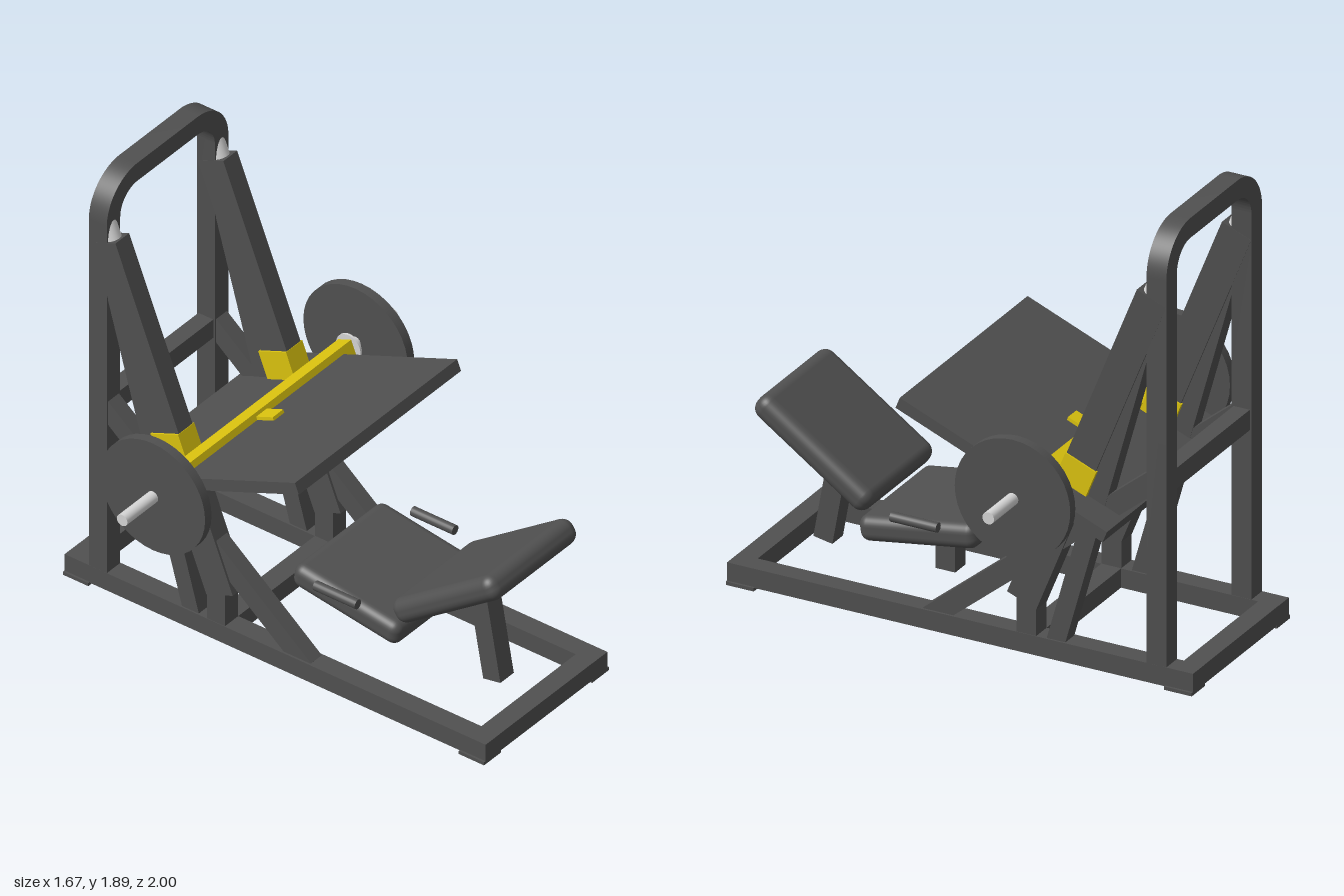
import * as THREE from 'three';
import { toCreasedNormals } from 'three/addons/utils/BufferGeometryUtils.js';
import { RoundedBoxGeometry } from 'three/addons/geometries/RoundedBoxGeometry.js';

const mat = (name, color) => {
  const m = new THREE.MeshStandardMaterial({ color });
  m.name = name;
  return m;
};

export function createModel() {
  const dark = mat('darkGrey', 0x505050);
  const yellow = mat('yellow', 0xdcc40f);
  const silver = mat('silver', 0xd6d6d6);
  const model = new THREE.Group();
  const TILT = -0.38; // lean of the slide rails

  const add = (name, geo, material, x, y, z, rx = 0) => {
    const m = new THREE.Mesh(geo, material);
    m.name = name;
    m.position.set(x, y, z);
    m.rotation.x = rx;
    model.add(m);
    return m;
  };
  const box = (name, material, w, h, d, x, y, z, rx) =>
    add(name, new THREE.BoxGeometry(w, h, d), material, x, y, z, rx);
  // Square tube running between two [y, z] points at a given x
  const beam = (name, x, [y0, z0], [y1, z1], w, d) =>
    box(name, dark, w, Math.hypot(y1 - y0, z1 - z0), d, x,
      (y0 + y1) / 2, (z0 + z1) / 2, Math.atan2(z1 - z0, y1 - y0));
  // Cylinder lying along x
  const axle = (name, material, r, x0, x1, y, z) => {
    const g = new THREE.CylinderGeometry(r, r, Math.abs(x1 - x0), 40);
    g.rotateZ(Math.PI / 2);
    return add(name, g, material, (x0 + x1) / 2, y, z);
  };

  // Base cross members
  box('frontBaseBar', dark, 0.6, 0.08, 0.085, 0, 0.05, 0.957);
  box('rearBaseBar', dark, 0.6, 0.08, 0.085, 0, 0.05, -0.957);
  box('middleBaseBar', dark, 0.6, 0.08, 0.085, 0, 0.05, -0.283);
  box('uprightCrossbar', dark, 0.6, 0.085, 0.07, 0, 0.84, -0.843);

  // Rounded arch forming both uprights
  const o = 0.375, i = 0.292, top = 1.89, R = 0.19, r = 0.107;
  const arch = new THREE.Shape();
  arch.moveTo(-o, 0.05);
  arch.lineTo(-i, 0.05);
  arch.lineTo(-i, top - R);
  arch.absarc(-i + r, top - R, r, Math.PI, Math.PI / 2, true);
  arch.lineTo(i - r, top - R + r);
  arch.absarc(i - r, top - R, r, Math.PI / 2, 0, true);
  arch.lineTo(i, 0.05);
  arch.lineTo(o, 0.05);
  arch.lineTo(o, top - R);
  arch.absarc(o - R, top - R, R, 0, Math.PI / 2, false);
  arch.lineTo(-o + R, top);
  arch.absarc(-o + R, top - R, R, Math.PI / 2, Math.PI, false);
  const archGeo = new THREE.ExtrudeGeometry(arch, { depth: 0.085, bevelEnabled: false, curveSegments: 14 });
  add('uprightArch', toCreasedNormals(archGeo, 0.6), dark, 0, 0, -0.885);

  for (const s of [-1, 1]) {
    const x = 0.333 * s;
    // Base rails and feet
    box('baseRail', dark, 0.085, 0.08, 2, x, 0.05, 0);
    for (const z of [-0.94, 0.94]) box('foot', dark, 0.105, 0.014, 0.12, x, 0.007, z);

    // Slide rail with its guide rod and supports
    beam('slideRail', x, [0.225, -0.264], [1.617, -0.821], 0.085, 0.134);
    add('guideRod', new THREE.CylinderGeometry(0.035, 0.035, 0.2, 24), silver, x, 1.632, -0.807, TILT);
    box('railPost', dark, 0.08, 0.25, 0.085, x, 0.205, -0.283);
    beam('rearStrut', x, [0.05, -0.397], [1.45, -0.786], 0.07, 0.077);
    beam('diagonalStrut', x, [0.06, 0.137], [0.855, -0.832], 0.066, 0.085);

    // Carriage sleeve on the slide rail
    box('carriageSleeve', yellow, 0.1, 0.24, 0.142, x, 0.753, -0.477, TILT);

    // Weight horn, collar and plate
    axle('weightHorn', silver, 0.025, 0.55 * s, 0.835 * s, 0.79, -0.373);
    axle('hornCollar', silver, 0.058, 0.56 * s, 0.57 * s, 0.79, -0.373);
    axle('weightPlate', dark, 0.248, 0.605 * s, 0.645 * s, 0.79, -0.373);

    // Seat handle
    const handle = new THREE.CylinderGeometry(0.02, 0.02, 0.2, 20);
    handle.rotateX(Math.PI / 2);
    add('seatHandle', handle, dark, 0.3 * s, 0.405, 0.235);
  }

  // Carriage crossbar, tab and footplate
  box('carriageBar', yellow, 1.13, 0.066, 0.066, 0, 0.79, -0.378, TILT);
  box('carriageTab', yellow, 0.065, 0.04, 0.09, 0, 0.815, -0.31, TILT);
  box('footPlate', dark, 1, 0.05, 0.957, 0, 0.82, -0.245, TILT);

  // Seat and backrest on their posts
  add('seatCushion', new RoundedBoxGeometry(0.55, 0.105, 0.51, 4, 0.04), dark, 0, 0.338, 0.247, 0.157);
  add('backCushion', new RoundedBoxGeometry(0.53, 0.105, 0.585, 4, 0.045), dark, 0, 0.554, 0.706, -0.607);
  box('seatPost', dark, 0.08, 0.23, 0.085, 0, 0.205, 0.247);
  beam('backPost', 0, [0.095, 0.772], [0.53, 0.694], 0.083, 0.083);

  return model;
}
